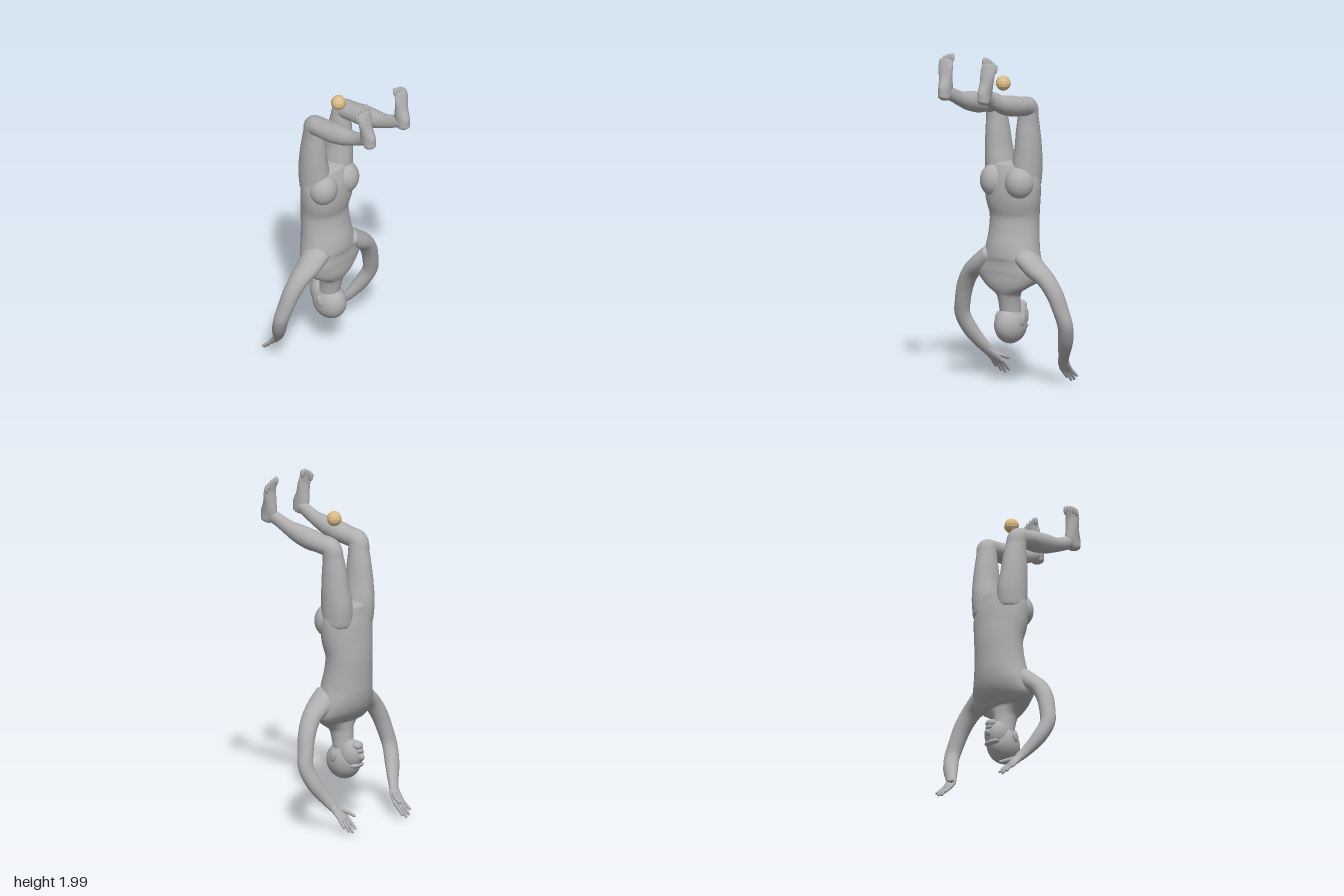
import * as THREE from 'three';

const V = (x, y, z) => new THREE.Vector3(x, y, z);

// Smooth closed body from sections [x, y, z, halfSide, halfDepth]; ref is the side direction.
function loft(sections, ref, { steps = 6, sides = 28, cap = 0.6 } = {}) {
  const centre = new THREE.CatmullRomCurve3(sections.map(p => V(p[0], p[1], p[2])), false, 'catmullrom', 0.5);
  const size = new THREE.CatmullRomCurve3(sections.map(p => V(p[3], p[4], 0)), false, 'catmullrom', 0.5);
  const n = (sections.length - 1) * steps;
  const rings = [];
  for (let i = 0; i <= n; i++) rings.push([i / n, 0, 1]);
  // rounded ends
  for (let k = 1; k <= 5; k++) {
    const a = k / 5 * Math.PI / 2;
    const r = Math.max(Math.cos(a), 0.002);
    rings.unshift([0, -Math.sin(a), r]);
    rings.push([1, Math.sin(a), r]);
  }
  const pos = [], idx = [];
  for (const [u, off, r] of rings) {
    const t = centre.getTangent(u);
    const side = ref.clone().addScaledVector(t, -ref.dot(t)).normalize();
    const up = t.clone().cross(side);
    const s = size.getPoint(u);
    const c = centre.getPoint(u).addScaledVector(t, off * cap * Math.min(s.x, s.y));
    for (let j = 0; j < sides; j++) {
      const a = j / sides * Math.PI * 2;
      const p = c.clone()
        .addScaledVector(side, Math.cos(a) * s.x * r)
        .addScaledVector(up, Math.sin(a) * s.y * r);
      pos.push(p.x, p.y, p.z);
    }
  }
  for (let i = 0; i < rings.length - 1; i++) {
    for (let j = 0; j < sides; j++) {
      const k = (j + 1) % sides;
      const a = i * sides + j, b = i * sides + k, c = a + sides, d = b + sides;
      idx.push(a, b, c, b, d, c);
    }
  }
  const g = new THREE.BufferGeometry();
  g.setAttribute('position', new THREE.Float32BufferAttribute(pos, 3));
  g.setIndex(idx);
  g.computeVertexNormals();
  return g;
}

export function createModel() {
  const model = new THREE.Group();
  model.name = 'invertedFigure';
  const skin = new THREE.MeshStandardMaterial({ color: 0xb0b0b0 });
  skin.name = 'grey';
  const tan = new THREE.MeshStandardMaterial({ color: 0xd9bc88, flatShading: true });
  tan.name = 'tan';

  const add = (name, geometry, parent = model, material = skin) => {
    const m = new THREE.Mesh(geometry, material);
    m.name = name;
    parent.add(m);
    return m;
  };
  const blob = (name, c, r, parent = model, tilt = 0) => {
    const m = add(name, new THREE.SphereGeometry(1, 28, 20), parent);
    m.position.set(...c);
    m.scale.set(...r);
    m.rotation.z = tilt;
    return m;
  };
  const Z = V(0, 0, 1), X = V(1, 0, 0);

  // torso, hips at the top and neck at the bottom
  add('torso', loft([
    [-0.145, 1.29, 0, 0.165, 0.095],
    [-0.14, 1.2, 0, 0.18, 0.118],
    [-0.145, 1.1, 0, 0.175, 0.125],
    [-0.16, 1.0, 0, 0.157, 0.12],
    [-0.155, 0.9, 0, 0.157, 0.125],
    [-0.142, 0.8, 0, 0.17, 0.135],
    [-0.13, 0.72, 0, 0.195, 0.128],
    [-0.105, 0.65, 0, 0.215, 0.1],
    [-0.092, 0.6, 0, 0.165, 0.08],
    [-0.1, 0.55, 0, 0.085, 0.068],
    [-0.108, 0.5, 0, 0.066, 0.064],
    [-0.12, 0.42, 0, 0.062, 0.062],
  ], Z, { sides: 40, cap: 0.3 }));

  // head, upside down and facing -x
  const head = new THREE.Group();
  head.name = 'head';
  model.add(head);
  blob('skull', [-0.12, 0.353, 0], [0.111, 0.11, 0.088], head);
  blob('face', [-0.175, 0.395, 0], [0.078, 0.09, 0.07], head, 0.15);
  blob('chin', [-0.225, 0.455, 0], [0.034, 0.028, 0.035], head);
  blob('lips', [-0.247, 0.427, 0], [0.014, 0.014, 0.024], head);
  blob('nose', [-0.252, 0.388, 0], [0.028, 0.02, 0.016], head, -0.5);
  blob('brow', [-0.222, 0.338, 0], [0.024, 0.018, 0.052], head);

  for (const s of [1, -1]) {
    const label = s > 0 ? 'left' : 'right';
    const limb = (name, pts, ref, parent, opt) =>
      add(name, loft(pts.map(([x, y, z, a, b]) => [x, y, z * s, a, b]), ref, opt), parent);

    blob(label + 'Ear', [-0.115, 0.388, 0.089 * s], [0.022, 0.036, 0.012], head, 0.2);
    blob(label + 'Buttock', [-0.085, 1.2, 0.088 * s], [0.085, 0.1, 0.088]);

    // arm
    const arm = new THREE.Group();
    arm.name = label + 'Arm';
    model.add(arm);
    limb('armLimb', [
      [-0.1, 0.76, 0.12, 0.085, 0.06],
      [-0.095, 0.7, 0.195, 0.075, 0.058],
      [-0.1, 0.645, 0.265, 0.06, 0.05],
      [-0.115, 0.56, 0.318, 0.053, 0.048],
      [-0.133, 0.46, 0.35, 0.048, 0.045],
      [-0.153, 0.375, 0.365, 0.042, 0.047],
      [-0.195, 0.28, 0.338, 0.04, 0.046],
      [-0.24, 0.2, 0.295, 0.03, 0.038],
      [-0.28, 0.145, 0.262, 0.022, 0.033],
    ], X, arm);

    // hand
    limb('palm', [
      [-0.27, 0.158, 0.268, 0.032, 0.022],
      [-0.302, 0.118, 0.252, 0.04, 0.02],
      [-0.34, 0.078, 0.243, 0.045, 0.014],
    ], Z, arm, { sides: 18 });
    const tips = [[-0.376, 0.045, 0.288], [-0.39, 0.022, 0.261], [-0.395, 0.013, 0.234], [-0.391, 0.028, 0.206]];
    tips.forEach(([x, y, z], i) => {
      const kz = 0.276 - i * 0.022;
      limb('finger' + (i + 1), [
        [-0.325, 0.093, kz, 0.011, 0.011],
        [-0.355, 0.064, (kz + z) / 2, 0.0105, 0.0105],
        [x, y, z, 0.008, 0.008],
      ], Z, arm, { sides: 10, steps: 4, cap: 1 });
    });
    limb('thumb', [
      [-0.297, 0.135, 0.24, 0.017, 0.015],
      [-0.338, 0.117, 0.21, 0.013, 0.012],
      [-0.376, 0.1, 0.198, 0.009, 0.009],
    ], Z, arm, { sides: 10, steps: 4, cap: 1 });

    // leg bent at the knee
    const leg = new THREE.Group();
    leg.name = label + 'Leg';
    model.add(leg);
    limb('legLimb', [
      [-0.15, 1.2, 0.09, 0.085, 0.095],
      [-0.152, 1.3, 0.096, 0.084, 0.097],
      [-0.148, 1.4, 0.105, 0.076, 0.087],
      [-0.143, 1.5, 0.108, 0.068, 0.077],
      [-0.137, 1.585, 0.112, 0.06, 0.064],
      [-0.125, 1.642, 0.118, 0.057, 0.061],
      [-0.05, 1.66, 0.122, 0.061, 0.056],
      [0.03, 1.672, 0.124, 0.061, 0.061],
      [0.12, 1.692, 0.125, 0.053, 0.056],
      [0.2, 1.715, 0.125, 0.039, 0.044],
      [0.265, 1.743, 0.127, 0.031, 0.04],
      [0.325, 1.77, 0.135, 0.032, 0.038],
    ], Z, leg);

    // foot with the sole facing +x
    limb('foot', [
      [0.35, 1.745, 0.14, 0.034, 0.04],
      [0.335, 1.79, 0.14, 0.036, 0.054],
      [0.325, 1.85, 0.145, 0.041, 0.037],
      [0.32, 1.91, 0.15, 0.049, 0.023],
      [0.311, 1.955, 0.152, 0.047, 0.015],
    ], Z, leg, { sides: 22 });
    for (let i = 0; i < 5; i++) {
      const r = i === 0 ? 0.014 : 0.0105;
      blob('toe' + (i + 1), [0.303, 1.972 - i * i * 0.0022, (0.115 + i * 0.02) * s], [r, 0.027, r], leg, 0.15);
    }
  }

  // faceted ball between the legs
  add('ball', new THREE.SphereGeometry(0.044, 12, 8), model, tan).position.set(-0.046, 1.785, 0);
  return model;
}
